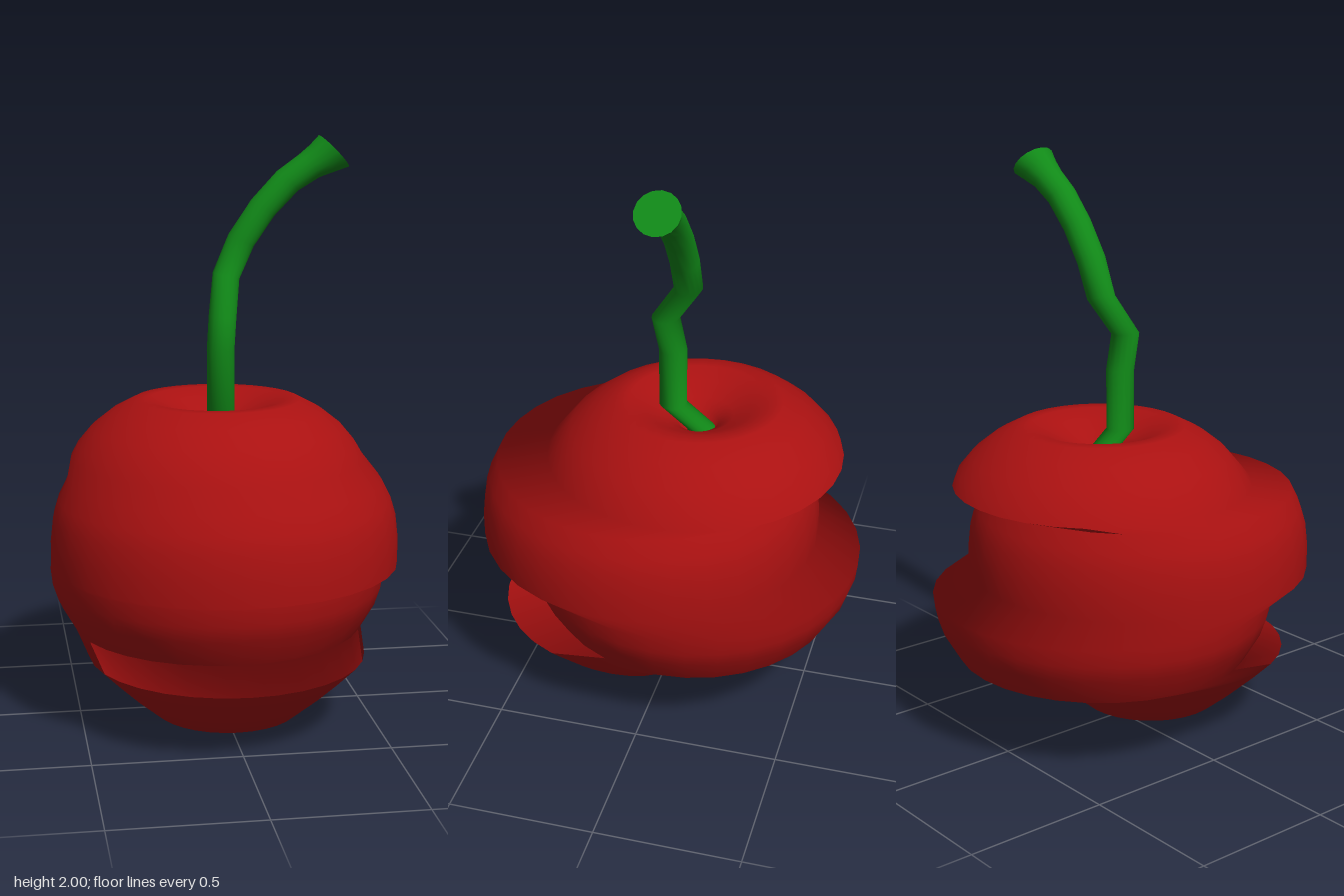
import * as THREE from 'three';

const RED = new THREE.MeshStandardMaterial({ color: 0xaa1111 });
const GREEN = new THREE.MeshStandardMaterial({ color: 0x118a18 });

// Fruit: a turned profile whose horizontal slices slide along z.
function makeFruit() {
  // [radius, height, slide along z]
  const rings = [
    [0, 0.005, 0.14], [0.14, 0.015, 0.14], [0.25, 0.045, 0.14], [0.34, 0.12, 0.14],
    [0.41, 0.185, 0.14], [0.475, 0.25, 0.14],
    [0.51, 0.295, -0.08], [0.565, 0.39, -0.08], [0.585, 0.45, -0.08], [0.592, 0.51, -0.08],
    [0.597, 0.565, 0.08], [0.597, 0.65, 0.08], [0.588, 0.73, 0.08], [0.57, 0.79, 0.08], [0.54, 0.85, 0.08],
    [0.515, 0.895, -0.08], [0.49, 0.94, -0.09], [0.44, 1.0, -0.09], [0.37, 1.055, -0.09],
    [0.29, 1.097, -0.09], [0.24, 1.097, -0.09], [0.18, 1.07, -0.09], [0.12, 1.04, -0.09],
    [0.07, 1.01, -0.09], [0.045, 0.96, -0.09], [0, 0.93, -0.09],
  ];
  const geo = new THREE.LatheGeometry(rings.map(([r, y]) => new THREE.Vector2(r, y)), 32);
  // sliding after the normals are made keeps the shading of the round fruit
  const pos = geo.attributes.position;
  for (let i = 0; i < pos.count; i++) {
    pos.setZ(i, pos.getZ(i) + rings[i % rings.length][2]);
  }
  return new THREE.Mesh(geo, RED);
}

// Stem: round sections along a bent path, flaring at the tip.
function makeStem() {
  // [x, y, z, radius, lean towards +x in radians]
  const sections = [
    [0, 0.92, -0.1, 0.048, 0], [0, 0.99, -0.1, 0.048, 0], [0, 1.07, 0, 0.048, 0],
    [0, 1.28, 0, 0.048, 0], [0.003, 1.4, 0.025, 0.048, 0.08], [0.028, 1.53, -0.06, 0.048, 0.25],
    [0.08, 1.65, -0.06, 0.049, 0.45], [0.155, 1.76, -0.06, 0.049, 0.62],
    [0.24, 1.85, -0.06, 0.05, 0.74], [0.315, 1.9, -0.06, 0.053, 0.8],
    [0.36, 1.925, -0.06, 0.063, 0.8], [0.4, 1.95, -0.06, 0.075, 0.8],
  ];
  const sides = 16, position = [], index = [];
  for (const [x, y, z, r, lean] of sections) {
    for (let j = 0; j < sides; j++) {
      const a = (j / sides) * Math.PI * 2;
      position.push(x + r * Math.sin(a) * Math.cos(lean), y - r * Math.sin(a) * Math.sin(lean), z + r * Math.cos(a));
    }
  }
  for (let i = 0; i < sections.length - 1; i++) {
    for (let j = 0; j < sides; j++) {
      const k = (j + 1) % sides;
      const a = i * sides + j, b = i * sides + k;
      index.push(a, b, a + sides, b, b + sides, a + sides);
    }
  }
  const geo = new THREE.BufferGeometry();
  geo.setAttribute('position', new THREE.Float32BufferAttribute(position, 3));
  geo.setIndex(index);
  geo.computeVertexNormals();

  // flat cut end
  const [x, y, z, r, lean] = sections[sections.length - 1];
  const end = new THREE.CircleGeometry(r, sides);
  end.rotateX(-Math.PI / 2).rotateZ(-lean).translate(x, y, z);
  const tip = new THREE.Mesh(end, GREEN);
  tip.name = 'stemTip';

  const shaft = new THREE.Mesh(geo, GREEN);
  shaft.name = 'stemShaft';
  const stem = new THREE.Group();
  stem.add(shaft, tip);
  return stem;
}

export function createModel() {
  const model = new THREE.Group();
  model.name = 'slicedCherry';
  const fruit = makeFruit();
  fruit.name = 'fruit';
  const stem = makeStem();
  stem.name = 'stem';
  model.add(fruit, stem);
  return model;
}
